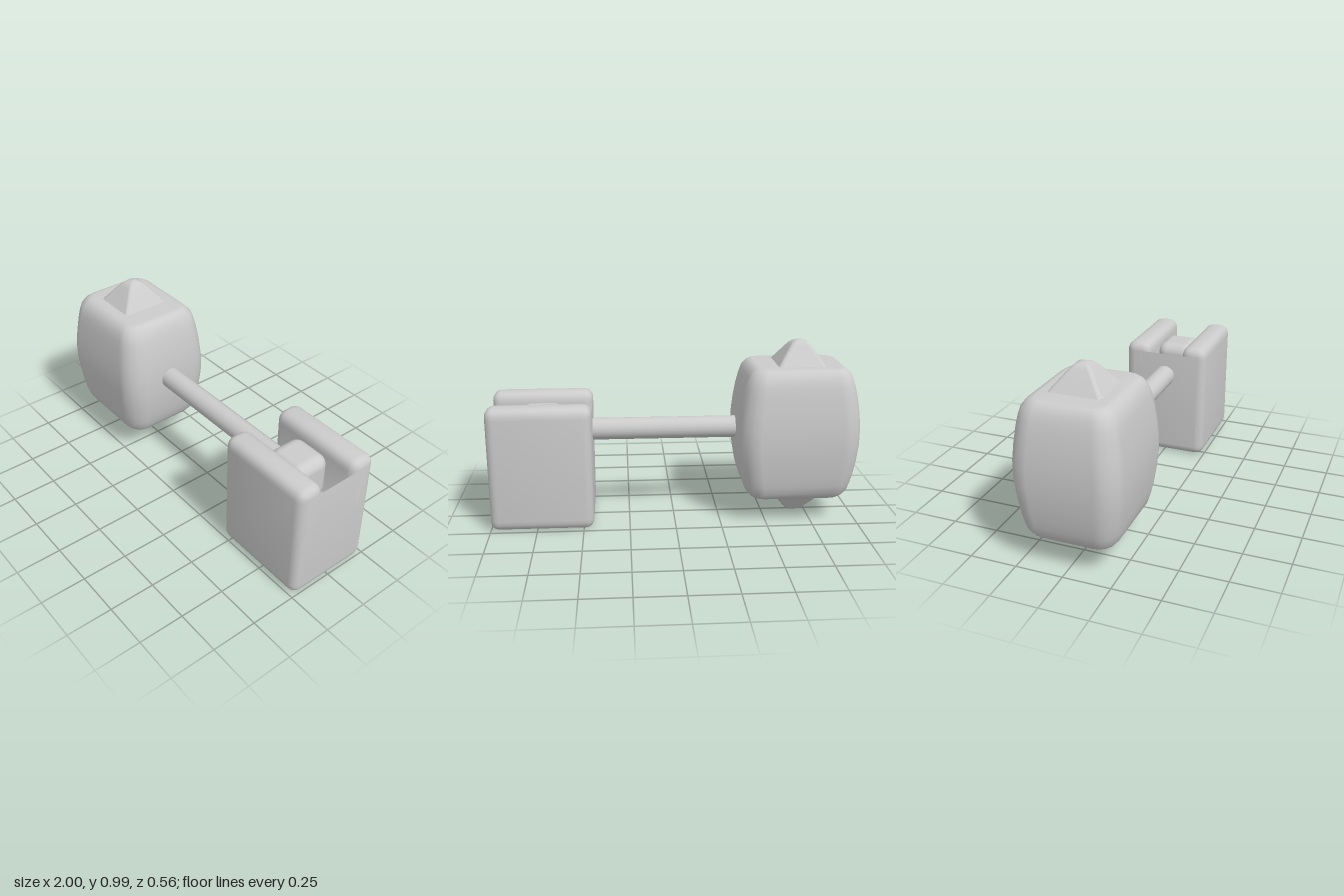
import * as THREE from 'three';
import { toCreasedNormals } from 'three/addons/utils/BufferGeometryUtils.js';
import { RoundedBoxGeometry } from 'three/addons/geometries/RoundedBoxGeometry.js';

const grey = new THREE.MeshStandardMaterial({ color: 0xcccccc });
const ARC = 5; // points per rounded corner

// Stack of rounded-rectangle rings [y, halfX, halfZ, cornerRadius], bottom to top, capped
function loft(rings) {
  const pos = [], index = [], n = ARC * 4;
  for (const [y, hx, hz, r] of rings) {
    for (let c = 0; c < 4; c++) {
      const sx = c === 0 || c === 3 ? 1 : -1, sz = c < 2 ? 1 : -1;
      for (let k = 0; k < ARC; k++) {
        const a = (c + k / (ARC - 1)) * Math.PI / 2;
        pos.push(sx * (hx - r) + r * Math.cos(a), y, sz * (hz - r) + r * Math.sin(a));
      }
    }
  }
  for (let i = 0; i < rings.length - 1; i++) {
    for (let j = 0; j < n; j++) {
      const a = i * n + j, b = i * n + (j + 1) % n;
      index.push(a, a + n, b, b, a + n, b + n);
    }
  }
  const last = (rings.length - 1) * n, low = pos.length / 3, high = low + 1;
  pos.push(0, rings[0][0], 0, 0, rings[rings.length - 1][0], 0);
  for (let j = 0; j < n; j++) {
    const k = (j + 1) % n;
    index.push(low, j, k, high, last + k, last + j);
  }
  const g = new THREE.BufferGeometry();
  g.setAttribute('position', new THREE.Float32BufferAttribute(pos, 3));
  g.setIndex(index);
  g.computeVertexNormals();
  return g;
}

// U-shaped outline (x = depth, y = height) with rounded corners
function forkShape(w, h, slot, floor, r) {
  const s = new THREE.Shape();
  const q = (cx, cy, x, y) => s.quadraticCurveTo(cx, cy, x, y);
  s.moveTo(-w + r, 0);
  s.lineTo(w - r, 0); q(w, 0, w, r);
  s.lineTo(w, h - r); q(w, h, w - r, h);
  s.lineTo(slot + r, h); q(slot, h, slot, h - r);
  s.lineTo(slot, floor + 0.02);
  s.lineTo(slot - 0.02, floor);
  s.lineTo(-slot + 0.02, floor);
  s.lineTo(-slot, floor + 0.02);
  s.lineTo(-slot, h - r); q(-slot, h, -slot - r, h);
  s.lineTo(-w + r, h); q(-w, h, -w, h - r);
  s.lineTo(-w, r); q(-w, 0, -w + r, 0);
  return s;
}

export function createModel() {
  const model = new THREE.Group();
  model.name = 'barrelAndFork';
  const add = (name, geometry, x, y, z = 0) => {
    const m = new THREE.Mesh(geometry, grey);
    m.name = name;
    m.position.set(x, y, z);
    model.add(m);
    return m;
  };

  // Bulging rounded block, symmetric top to bottom
  const half = [
    [0.05, 0.329, 0.279, 0.11], [0.14, 0.321, 0.271, 0.11], [0.22, 0.308, 0.26, 0.105],
    [0.275, 0.295, 0.25, 0.1], [0.32, 0.28, 0.236, 0.09], [0.347, 0.26, 0.214, 0.08],
    [0.36, 0.242, 0.195, 0.065], [0.366, 0.22, 0.172, 0.05],
  ];
  const lower = half.map(([y, ...rest]) => [-y, ...rest]).reverse();
  add('block', loft([...lower, ...half]), -0.67, 0.495);

  // Round-tipped pyramids above and below the block
  const spike = loft([
    [-0.03, 0.15, 0.16, 0.02], [0, 0.128, 0.136, 0.02], [0.05, 0.092, 0.096, 0.02],
    [0.1, 0.055, 0.057, 0.02], [0.116, 0.038, 0.038, 0.018], [0.125, 0.015, 0.015, 0.012],
  ]);
  add('topSpike', spike, -0.685, 0.862);
  add('bottomSpike', spike, -0.685, 0.127).rotation.x = Math.PI;

  // Connecting rod
  const rod = new THREE.CylinderGeometry(0.06, 0.06, 1.0, 20);
  rod.rotateZ(Math.PI / 2);
  add('rod', rod, 0.14, 0.5);

  // Rounded head on the end of the rod, held between the fork arms
  add('rodHead', new RoundedBoxGeometry(0.24, 0.25, 0.22, 4, 0.06), 0.72, 0.51);

  // Fork with softened edges
  const bevel = 0.045, x0 = 0.445, x1 = 1.0;
  const fork = new THREE.ExtrudeGeometry(forkShape(0.245, 0.682, 0.098, 0.37, 0.06), {
    depth: x1 - x0 - 2 * bevel, bevelEnabled: true, bevelSize: bevel, bevelOffset: -bevel,
    bevelThickness: bevel, bevelSegments: 4, curveSegments: 5,
  });
  fork.translate(0, 0, bevel);
  fork.rotateY(Math.PI / 2);
  add('fork', toCreasedNormals(fork, 0.8), x0, 0);

  return model;
}
